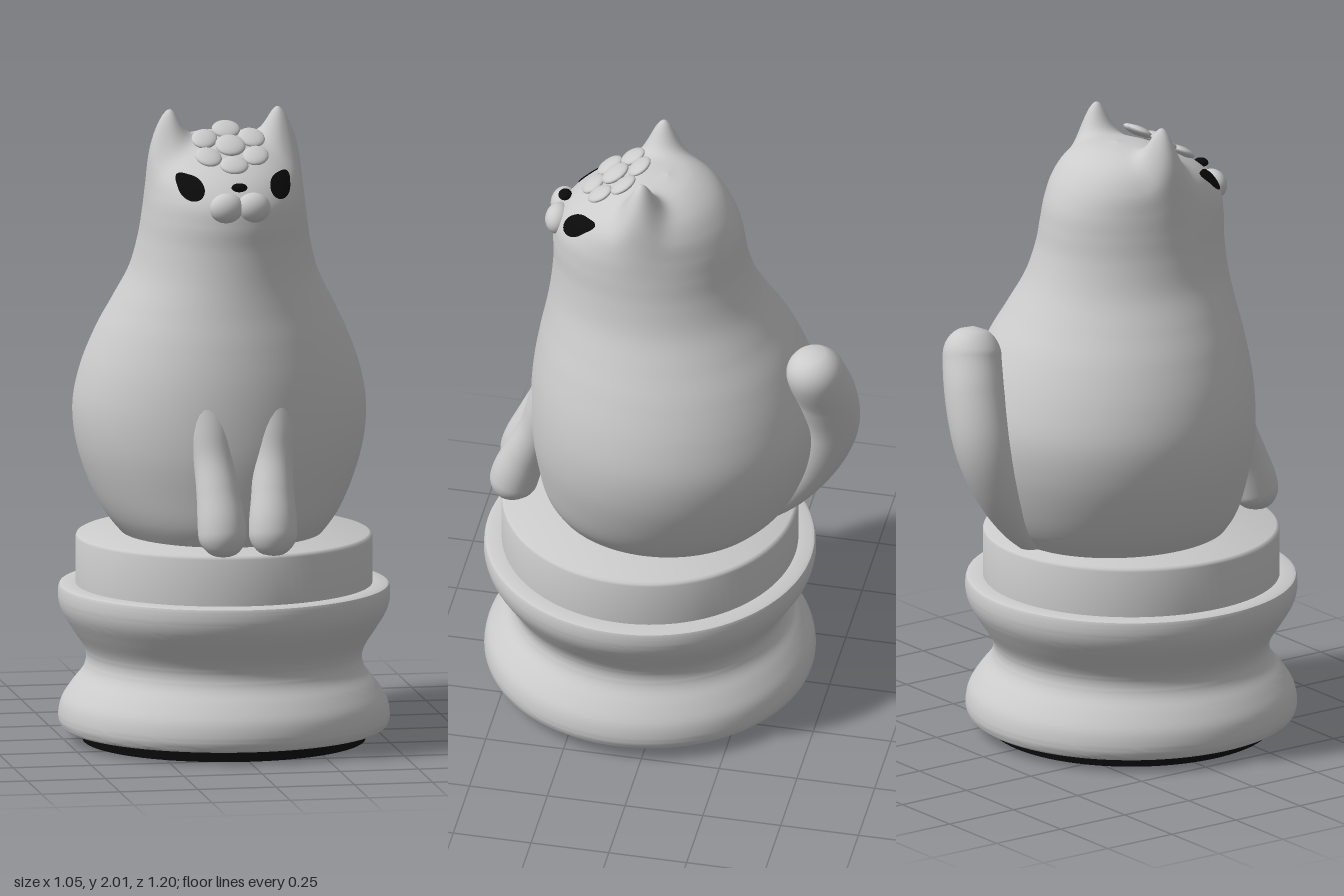
import * as THREE from 'three';
import { mergeVertices, toCreasedNormals } from 'three/addons/utils/BufferGeometryUtils.js';

const grey = new THREE.MeshStandardMaterial({ color: 0xcccccc });
const black = new THREE.MeshStandardMaterial({ color: 0x0a0a0a });
const blackThin = new THREE.MeshStandardMaterial({ color: 0x0a0a0a, side: THREE.DoubleSide });

function add(parent, name, geometry, material = grey) {
  const mesh = new THREE.Mesh(geometry, material);
  mesh.name = name;
  parent.add(mesh);
  return mesh;
}

function ellipsoid(parent, name, position, radii, material) {
  const mesh = add(parent, name, new THREE.SphereGeometry(1, 32, 20), material);
  mesh.position.set(...position);
  mesh.scale.set(...radii);
  return mesh;
}

// Body sections: height, half width, front z, back z
const sections = [
  [0.64, 0.30, 0.37, -0.30], [0.72, 0.365, 0.41, -0.37], [0.82, 0.415, 0.43, -0.42],
  [0.94, 0.452, 0.447, -0.457], [1.06, 0.462, 0.45, -0.467], [1.18, 0.44, 0.443, -0.44],
  [1.3, 0.395, 0.425, -0.39], [1.4, 0.345, 0.405, -0.33], [1.5, 0.296, 0.39, -0.275],
  [1.6, 0.27, 0.382, -0.24], [1.68, 0.258, 0.383, -0.226], [1.75, 0.248, 0.37, -0.212],
  [1.82, 0.232, 0.312, -0.18], [1.88, 0.188, 0.215, -0.13], [1.92, 0.115, 0.12, -0.06],
  [1.935, 0, 0.02, 0.02],
];
const spline = (points) => new THREE.CatmullRomCurve3(points, false, 'catmullrom', 0.5);
const sideCurve = spline(sections.map(([y, w]) => new THREE.Vector3(w, y, 0)));
const depthCurve = spline(sections.map(([, , f, b]) => new THREE.Vector3(f, b, 0)));

function sectionAt(t) {
  const s = sideCurve.getPoint(t), d = depthCurve.getPoint(t);
  return { w: Math.max(s.x, 0), y: s.y, centre: (d.x + d.y) / 2, depth: (d.x - d.y) / 2 };
}

// Front surface of the body at a given x and y
function frontZ(x, y) {
  let lo = 0, hi = 1;
  for (let i = 0; i < 30; i++) {
    const mid = (lo + hi) / 2;
    if (sectionAt(mid).y < y) lo = mid; else hi = mid;
  }
  const s = sectionAt(lo);
  return s.centre + s.depth * Math.sqrt(Math.max(0, 1 - (x / s.w) ** 2));
}

// Ears are smooth peaks raised from the head surface
function earLift(x, y, z) {
  const dx = Math.abs(x) - 0.18;
  const fade = THREE.MathUtils.smoothstep(y, 1.68, 1.84);
  return 0.125 * fade * Math.exp(-((dx / (dx > 0 ? 0.085 : 0.05)) ** 2) - ((z - 0.07) / 0.055) ** 2);
}

function bodyGeometry(rows = 160, cols = 128) {
  const positions = [], index = [];
  for (let i = 0; i <= rows; i++) {
    const s = sectionAt(i / rows);
    for (let j = 0; j < cols; j++) {
      const a = (j / cols) * Math.PI * 2;
      const x = s.w * Math.sin(a), z = s.centre + s.depth * Math.cos(a);
      positions.push(x, s.y + earLift(x, s.y, z), z);
      if (i === rows) continue;
      const k = (j + 1) % cols, p = i * cols, q = p + cols;
      index.push(p + j, p + k, q + k, p + j, q + k, q + j);
    }
  }
  const g = new THREE.BufferGeometry();
  g.setAttribute('position', new THREE.Float32BufferAttribute(positions, 3));
  g.setIndex(index);
  g.computeVertexNormals();
  return g;
}

// Round limb along a path of [x, y, z, radius], with a domed end
function limbGeometry(path, rows = 72, cols = 32) {
  const curve = new THREE.CatmullRomCurve3(path.map((p) => new THREE.Vector3(p[0], p[1], p[2])));
  const radii = spline(path.map((p) => new THREE.Vector3(p[3], 0, 0)));
  const length = curve.getLength(), endR = path[path.length - 1][3];
  let g = new THREE.TubeGeometry(curve, rows, 1, cols);
  const pos = g.attributes.position, v = new THREE.Vector3();
  for (let i = 0; i <= rows; i++) {
    const u = i / rows, centre = curve.getPointAt(u);
    const d = Math.min(1, ((1 - u) * length) / endR);
    const r = radii.getPoint(u).x * Math.sqrt(1 - (1 - d) ** 2);
    for (let j = 0; j <= cols; j++) {
      const n = i * (cols + 1) + j;
      v.fromBufferAttribute(pos, n).sub(centre).multiplyScalar(r).add(centre);
      pos.setXYZ(n, v.x, v.y, v.z);
    }
  }
  g.deleteAttribute('uv');
  g.deleteAttribute('normal');
  g = mergeVertices(g, 1e-5);
  g.computeVertexNormals();
  return g;
}

// Teardrop eye laid on the face, its point up and outwards
function eyeGeometry(side) {
  const g = new THREE.RingGeometry(0.0001, 1, 40, 6);
  const pos = g.attributes.position;
  for (let i = 0; i < pos.count; i++) {
    const px = pos.getX(i), py = pos.getY(i), r = Math.hypot(px, py);
    const point = Math.max(0, (px + py) / Math.SQRT2 / (r || 1)) ** 8;
    const x = side * (0.142 + 0.037 * px * (1 + 0.35 * point));
    const y = 1.795 + 0.037 * py * (1 + 0.35 * point);
    pos.setXYZ(i, x, y, frontZ(x, y) + 0.006);
  }
  g.computeVertexNormals();
  return g;
}

export function createModel() {
  const model = new THREE.Group();
  model.name = 'catOnPedestal';

  // Pedestal
  const pedestal = new THREE.Group();
  pedestal.name = 'pedestal';
  pedestal.position.z = 0.077;
  model.add(pedestal);
  add(pedestal, 'basePad', new THREE.CylinderGeometry(0.445, 0.445, 0.05, 96), black).position.y = 0.025;
  const waist = new THREE.SplineCurve([
    [0.516, 0.05], [0.522, 0.08], [0.512, 0.13], [0.48, 0.18], [0.445, 0.225], [0.434, 0.265],
    [0.445, 0.305], [0.48, 0.36], [0.51, 0.41], [0.522, 0.45], [0.522, 0.485],
  ].map((p) => new THREE.Vector2(...p))).getPoints(50);
  const profile = [
    new THREE.Vector2(0, 0.04), new THREE.Vector2(0.505, 0.04), ...waist,
    ...[[0.518, 0.496], [0.508, 0.5], [0.467, 0.5], [0.467, 0.648], [0.464, 0.656], [0.456, 0.66], [0, 0.66]]
      .map((p) => new THREE.Vector2(...p)),
  ];
  add(pedestal, 'pedestalBody', toCreasedNormals(new THREE.LatheGeometry(profile, 96), 0.75));

  // Body, head and ears in one skin
  add(model, 'bodyAndHead', bodyGeometry());

  // Tail curling up the back
  add(model, 'tail', limbGeometry([
    [0, 0.64, -0.27, 0.035], [-0.005, 0.76, -0.375, 0.06], [-0.01, 0.9, -0.455, 0.08],
    [0.005, 1.05, -0.5, 0.094], [0.05, 1.19, -0.498, 0.096], [0.095, 1.3, -0.475, 0.094], [0.105, 1.388, -0.462, 0.09],
  ]));

  for (const side of [1, -1]) {
    const label = side > 0 ? 'left' : 'right';
    // Front leg and paw
    add(model, label + 'FrontLeg', limbGeometry([
      [side * 0.1, 1.12, 0.35, 0.08], [side * 0.096, 0.98, 0.398, 0.074], [side * 0.088, 0.85, 0.453, 0.064],
      [side * 0.082, 0.75, 0.49, 0.068], [side * 0.08, 0.69, 0.503, 0.076], [side * 0.08, 0.65, 0.505, 0.074],
    ]));
    // Eye and muzzle half
    add(model, label + 'Eye', eyeGeometry(side), blackThin);
    ellipsoid(model, label + 'Muzzle', [side * 0.043, 1.74, 0.362], [0.054, 0.048, 0.042]);
  }
  ellipsoid(model, 'nose', [0, 1.803, 0.35], [0.025, 0.014, 0.021], black);

  // Flower on the forehead
  const flower = new THREE.Group();
  flower.name = 'flower';
  flower.position.set(0, 1.905, 0.185);
  flower.rotation.x = 0.55;
  model.add(flower);
  ellipsoid(flower, 'flowerCentre', [0, 0.008, 0], [0.048, 0.016, 0.048]);
  for (let i = 0; i < 6; i++) {
    const a = (i * Math.PI) / 3;
    const petal = ellipsoid(flower, 'petal', [0.087 * Math.sin(a), 0, 0.087 * Math.cos(a)], [0.045, 0.014, 0.04]);
    petal.rotation.y = a;
  }
  return model;
}
